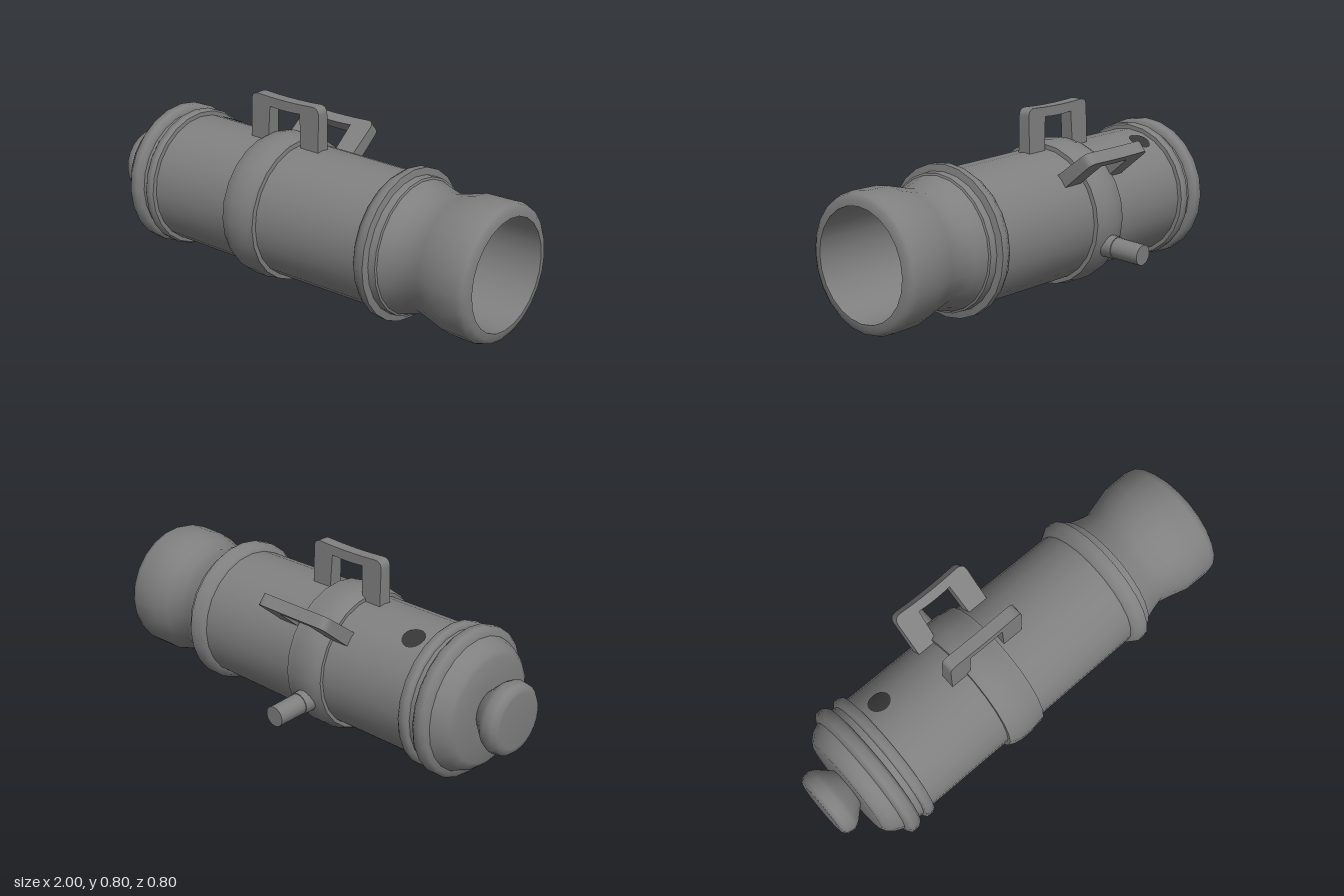
import * as THREE from 'three';
import { toCreasedNormals } from 'three/addons/utils/BufferGeometryUtils.js';

const SIDES = 24;
const BODY_R = 0.285;
const rad = THREE.MathUtils.degToRad;
const metal = new THREE.MeshStandardMaterial({ color: 0x808080, side: THREE.DoubleSide });
const dark = new THREE.MeshStandardMaterial({ color: 0x383838, side: THREE.DoubleSide });

function addMesh(parent, name, geometry, material = metal) {
  const mesh = new THREE.Mesh(geometry, material);
  mesh.name = name;
  parent.add(mesh);
  return mesh;
}

// Turned part around the x axis; profile is a list of [x, radius]
function turned(profile) {
  const points = profile.map(([x, r]) => new THREE.Vector2(r, x));
  return toCreasedNormals(new THREE.LatheGeometry(points, SIDES).rotateZ(-Math.PI / 2), 0.85);
}

// Round vent disc wrapped onto the curved body
function ventGeometry(x, angle, holeR) {
  const geometry = new THREE.RingGeometry(0, holeR, 24, 4);
  const pos = geometry.attributes.position;
  const r = BODY_R + 0.002;
  for (let i = 0; i < pos.count; i++) {
    const a = angle + pos.getY(i) / r;
    pos.setXYZ(i, x + pos.getX(i), r * Math.cos(a), -r * Math.sin(a));
  }
  geometry.computeVertexNormals();
  return geometry;
}

// Squared lifting handle, slightly thinner towards the top
function handleGeometry() {
  const shape = new THREE.Shape();
  shape.moveTo(-0.187, 0.26);
  shape.lineTo(-0.187, 0.442);
  shape.quadraticCurveTo(-0.187, 0.476, -0.153, 0.476);
  shape.quadraticCurveTo(0, 0.466, 0.153, 0.476);
  shape.quadraticCurveTo(0.187, 0.476, 0.187, 0.442);
  shape.lineTo(0.187, 0.26);
  shape.lineTo(0.092, 0.26);
  shape.lineTo(0.083, 0.432);
  shape.quadraticCurveTo(0, 0.424, -0.083, 0.432);
  shape.lineTo(-0.092, 0.26);
  const geometry = new THREE.ExtrudeGeometry(shape, { depth: 1, bevelEnabled: false, curveSegments: 5 });
  const pos = geometry.attributes.position;
  for (let i = 0; i < pos.count; i++) {
    const thickness = THREE.MathUtils.mapLinear(pos.getY(i), 0.26, 0.48, 0.063, 0.053);
    pos.setZ(i, (pos.getZ(i) - 0.5) * thickness);
  }
  return toCreasedNormals(geometry, 0.5);
}

export function createModel() {
  const model = new THREE.Group();
  model.name = 'cannonBarrel';
  const barrel = new THREE.Group();
  barrel.name = 'barrel';
  barrel.position.set(0, 0.322, 0.08);
  model.add(barrel);

  // Rear knob, rounded breech and its two rings
  addMesh(barrel, 'breech', turned([
    [-1, 0], [-1, 0.115], [-0.998, 0.132], [-0.982, 0.149], [-0.945, 0.155], [-0.92, 0.143], [-0.865, 0.09],
    [-0.865, 0.225], [-0.855, 0.243], [-0.83, 0.266], [-0.79, 0.284],
    [-0.785, 0.305], [-0.772, 0.319], [-0.737, 0.319], [-0.722, 0.305], [-0.72, 0.288],
    [-0.692, 0.288], [-0.69, 0.303], [-0.682, 0.31], [-0.655, 0.31], [-0.646, 0.303], [-0.645, BODY_R],
  ]));

  // Body, middle band, front ring, waisted muzzle and bore
  addMesh(barrel, 'bodyAndBore', turned([
    [-0.645, BODY_R], [-0.225, BODY_R], [-0.225, 0.3], [-0.2, 0.312], [-0.165, 0.319], [-0.105, 0.319],
    [-0.07, 0.312], [-0.046, 0.31], [-0.045, 0.291], [0.48, 0.286],
    [0.485, 0.3], [0.515, 0.319], [0.545, 0.319], [0.55, 0.29], [0.582, 0.288], [0.585, 0.279],
    [0.64, 0.261], [0.7, 0.247], [0.77, 0.264], [0.84, 0.284], [0.96, 0.286], [0.985, 0.278],
    [0.997, 0.26], [1, 0.233], [-0.65, 0.233], [-0.65, 0],
  ]));

  // Dark touch hole near the breech
  addMesh(barrel, 'vent', ventGeometry(-0.565, rad(25.5), 0.05), dark);

  // Two handles over the band: one upright, one leaning to the back
  const handle = handleGeometry();
  addMesh(barrel, 'topHandle', handle).position.x = -0.117;
  const backHandle = addMesh(barrel, 'backHandle', handle);
  backHandle.position.set(-0.117, 0.014, 0.02);
  backHandle.rotation.x = rad(-51.5);

  // Single pivot pin on the back, with a collar at its root
  const pivot = new THREE.Group();
  pivot.name = 'pivotPin';
  pivot.position.set(-0.138, -0.108, -0.3);
  pivot.rotation.x = -Math.PI / 2 - rad(2.5);
  barrel.add(pivot);
  addMesh(pivot, 'pin', new THREE.CylinderGeometry(0.0445, 0.0465, 0.22, 16)).position.y = 0.068;
  addMesh(pivot, 'pinCollar', new THREE.CylinderGeometry(0.0495, 0.051, 0.08, 16)).position.y = 0.001;

  return model;
}
